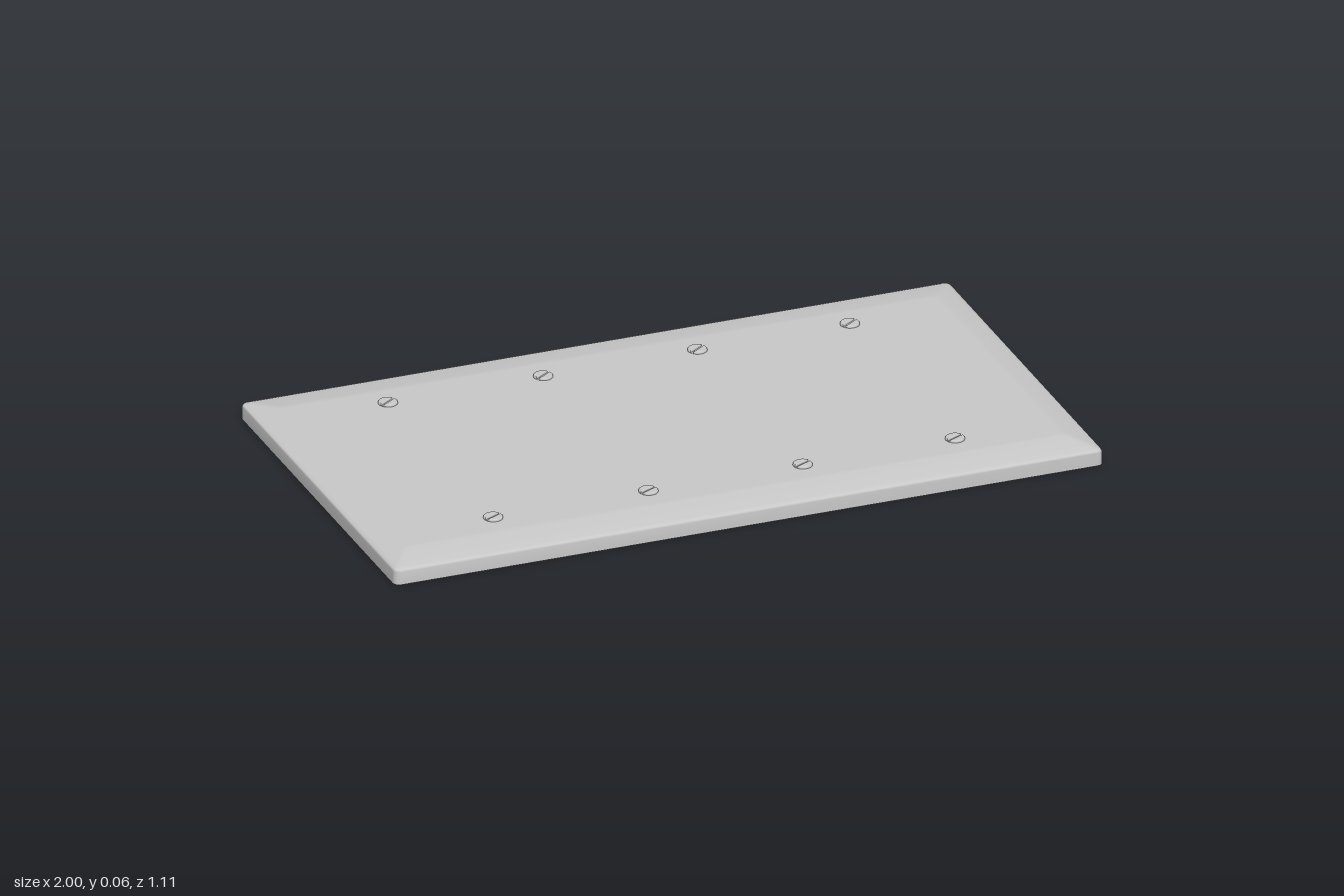
import * as THREE from 'three';

const grey = new THREE.MeshStandardMaterial({ color: 0xc8c8c8, side: THREE.DoubleSide });
grey.name = 'light grey';

// Rounded rectangle outline with half sizes w, d, counter-clockwise seen from above
function outline(w, d, r, steps = 4) {
  const points = [];
  [[1, 1], [-1, 1], [-1, -1], [1, -1]].forEach(([sx, sz], corner) => {
    for (let i = 0; i <= steps; i++) {
      const a = (corner + i / steps) * Math.PI / 2;
      points.push([sx * (w - r) + r * Math.cos(a), sz * (d - r) + r * Math.sin(a)]);
    }
  });
  return points;
}

// Hollow cover: rings from the open bottom edge up to the flat face
function coverGeometry() {
  const rings = [ // half width, half depth, height, corner radius
    [1, 0.553, 0, 0.018], [1, 0.553, 0.036, 0.018], [0.997, 0.55, 0.041, 0.018],
    [0.985, 0.538, 0.0455, 0.016], [0.935, 0.462, 0.0575, 0.012], [0.92, 0.445, 0.058, 0.01],
  ];
  const position = [], index = [];
  let n = 0;
  for (const [w, d, y, r] of rings) {
    const points = outline(w, d, r);
    n = points.length;
    for (const [x, z] of points) position.push(x, y, z);
  }
  for (let k = 0; k < rings.length - 1; k++) {
    for (let i = 0; i < n; i++) {
      const a = k * n + i, b = k * n + (i + 1) % n;
      index.push(a, a + n, b, b, a + n, b + n);
    }
  }
  const center = position.length / 3, last = center - n;
  position.push(0, 0.058, 0);
  for (let i = 0; i < n; i++) index.push(last + i, center, last + (i + 1) % n);
  const geometry = new THREE.BufferGeometry();
  geometry.setAttribute('position', new THREE.Float32BufferAttribute(position, 3));
  geometry.setIndex(index);
  geometry.computeVertexNormals();
  return geometry;
}

// Half of a slotted screw head: a circle segment with a soft rim
function headHalfGeometry() {
  const r = 0.022, gap = 0.007, a = Math.asin(gap / r);
  const shape = new THREE.Shape();
  shape.absarc(0, 0, r, a, Math.PI - a, false);
  shape.closePath();
  const geometry = new THREE.ExtrudeGeometry(shape, {
    depth: 0.002, bevelThickness: 0.005, bevelSize: 0.004, bevelSegments: 3, curveSegments: 16,
  });
  return geometry.rotateX(-Math.PI / 2);
}

export function createModel() {
  const model = new THREE.Group();
  model.name = 'blankWallPlate';
  const add = (parent, geometry, name) => {
    const mesh = new THREE.Mesh(geometry, grey);
    mesh.name = name;
    parent.add(mesh);
    return mesh;
  };

  add(model, coverGeometry(), 'cover');

  // Eight slotted screws in two rows
  const half = headHalfGeometry();
  const base = new THREE.CylinderGeometry(0.026, 0.02, 0.012, 24);
  for (const z of [-0.375, 0.375]) {
    for (const x of [-0.653, -0.215, 0.22, 0.65]) {
      const screw = new THREE.Group();
      screw.name = 'screw';
      screw.position.set(x, 0.058, z);
      screw.rotation.y = z < 0 ? 0.6 : 0.45;
      add(screw, base, 'screwBase').position.y = -0.005;
      for (const turn of [0, Math.PI]) {
        const head = add(screw, half, 'screwHeadHalf');
        head.rotation.y = turn;
      }
      model.add(screw);
    }
  }
  return model;
}
